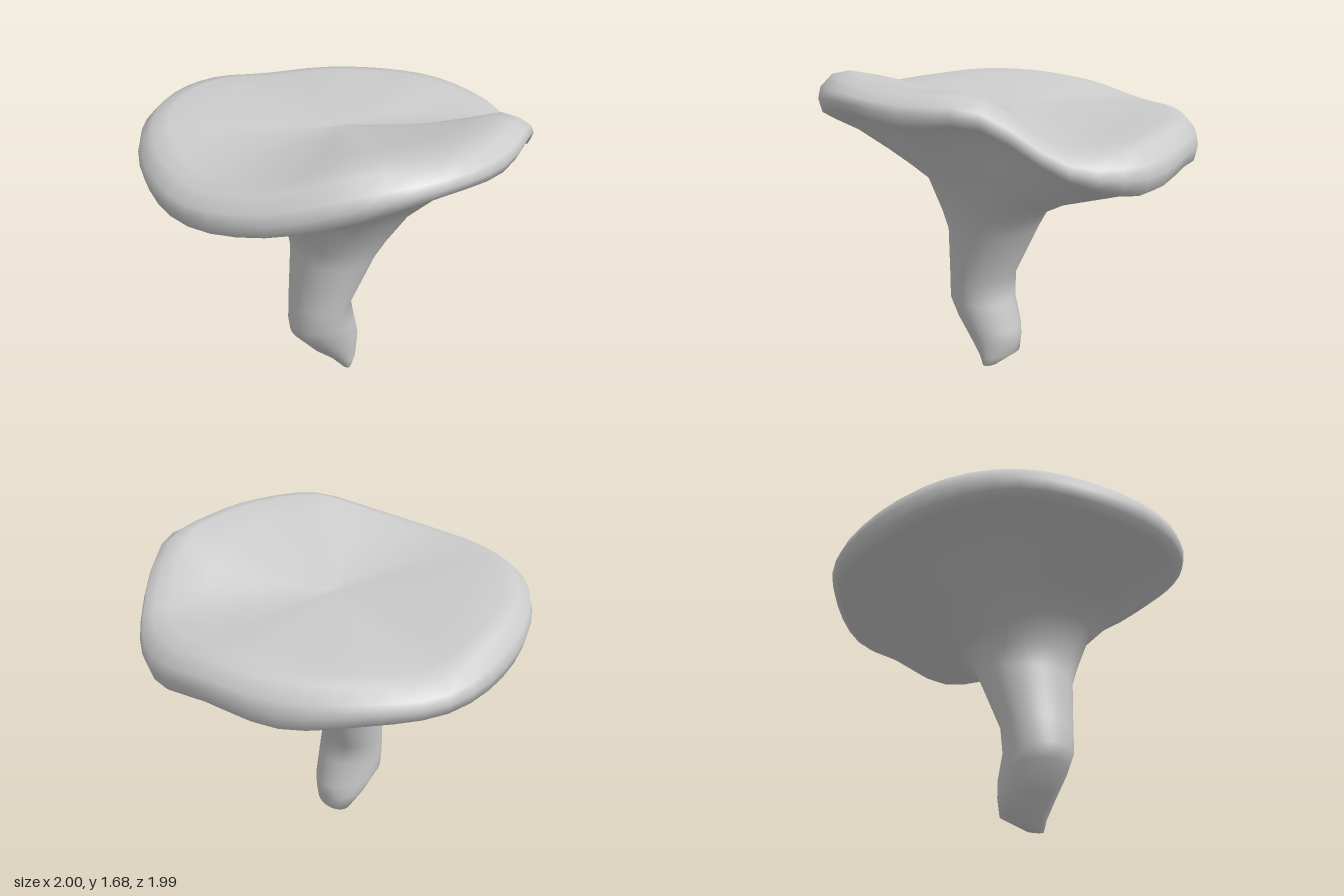
import * as THREE from 'three';

const SEG = 48;

// Rim values every 22.5 degrees, starting at +x and turning towards +z
const RADIUS = [1, .985, .96, .965, .99, .985, 1, 1.02, 1, .985, .975, .975, .995, .965, .955, .96];
const TOP = [1.42, 1.42, 1.64, 1.66, 1.67, 1.67, 1.57, 1.51, 1.52, 1.54, 1.53, 1.49, 1.42, 1.43, 1.44, 1.45];
const BOTTOM = [1.19, 1.29, 1.51, 1.5, 1.53, 1.45, 1.36, 1.31, 1.31, 1.34, 1.31, 1.26, 1.24, 1.23, 1.19, 1.23];

// Smooth periodic interpolation of a rim table
function around(table, a) {
  const n = table.length, f = (a / (2 * Math.PI)) * n, i = Math.floor(f), t = f - i;
  const [p, q, r, s] = [-1, 0, 1, 2].map((k) => table[(i + k + n) % n]);
  return q + 0.5 * t * (r - p + t * (2 * p - 5 * q + 4 * r - s + t * (3 * (q - r) + s - p)));
}

// Closed skin over a list of rings; each ring maps an angle to [x, y, z]
function skin(rings, name) {
  const pos = [], index = [];
  rings.forEach((ring, i) => {
    for (let j = 0; j < SEG; j++) {
      pos.push(...ring((j / SEG) * 2 * Math.PI));
      if (i === rings.length - 1) continue;
      const a = i * SEG + j, b = i * SEG + ((j + 1) % SEG);
      index.push(a, a + SEG, b, b, a + SEG, b + SEG);
    }
  });
  const geo = new THREE.BufferGeometry();
  geo.setAttribute('position', new THREE.Float32BufferAttribute(pos, 3));
  geo.setIndex(index);
  geo.computeVertexNormals();
  const mesh = new THREE.Mesh(geo, new THREE.MeshStandardMaterial({ color: 0xcccccc }));
  mesh.name = name;
  return mesh;
}

// Elliptical ring from its x and z extents, tilted by height changes along x and z
const oval = (y, x0, x1, z0, z1, tx = 0, tz = 0) => (a) => {
  const c = Math.cos(a), s = Math.sin(a);
  return [(x0 + x1) / 2 + c * (x1 - x0) / 2, y + tx * c + tz * s, (z0 + z1) / 2 + s * (z1 - z0) / 2];
};

// Cap ring: share k of the rim radius, height from the rim's top, bottom and the position
const rim = (k, height) => (a) => {
  const r = k * around(RADIUS, a), x = r * Math.cos(a), z = r * Math.sin(a);
  return [x, height(around(TOP, a), around(BOTTOM, a), x, z), z];
};

// Ring part way between two others
const between = (f, g, t) => (a) => {
  const p = f(a), q = g(a);
  return p.map((v, i) => v + (q[i] - v) * t);
};

// Dished top: a floor falling towards +x, ramped up at the front, rising into the rim
const dish = (k) => rim(k, (t, b, x, z) => {
  const floor = 1.455 - .09 * x + .15 * Math.max(0, z);
  return floor + (t - floor) * Math.pow(k / .84, 1.8);
});

export function createModel() {
  const neck = oval(1.035, -.38, .34, -.28, .46, -.04, .07);
  const gill = rim(.82, (t, b, x, z) => b - .03 - .04 * Math.max(0, z));

  const rings = [
    // bent stem with a pointed foot
    oval(0, -.021, -.019, .139, .141),
    oval(.002, -.05, .005, .09, .19),
    oval(.06, -.11, .055, -.055, .2),
    oval(.15, -.21, .07, -.08, .22),
    oval(.25, -.32, .07, -.095, .25, -.04),
    oval(.37, -.335, .03, -.085, .28),
    oval(.5, -.32, .005, -.105, .285),
    oval(.8, -.29, .16, -.175, .335),
    oval(.915, -.305, .23, -.215, .38),
    // flaring underside
    neck,
    between(neck, gill, .35),
    between(neck, gill, .7),
    gill,
    // blunt, wavy lip
    rim(.94, (t, b) => b),
    rim(.985, (t, b) => b + (t - b) * .12),
    rim(1, (t, b) => b + (t - b) * .4),
    rim(.985, (t, b) => b + (t - b) * .66),
    rim(.925, (t) => t - .015),
    // top
    ...[.84, .68, .5, .32, .15, .001].map(dish),
  ];

  const group = new THREE.Group();
  group.name = 'mushroom';
  group.add(skin(rings, 'capAndStem'));
  return group;
}
